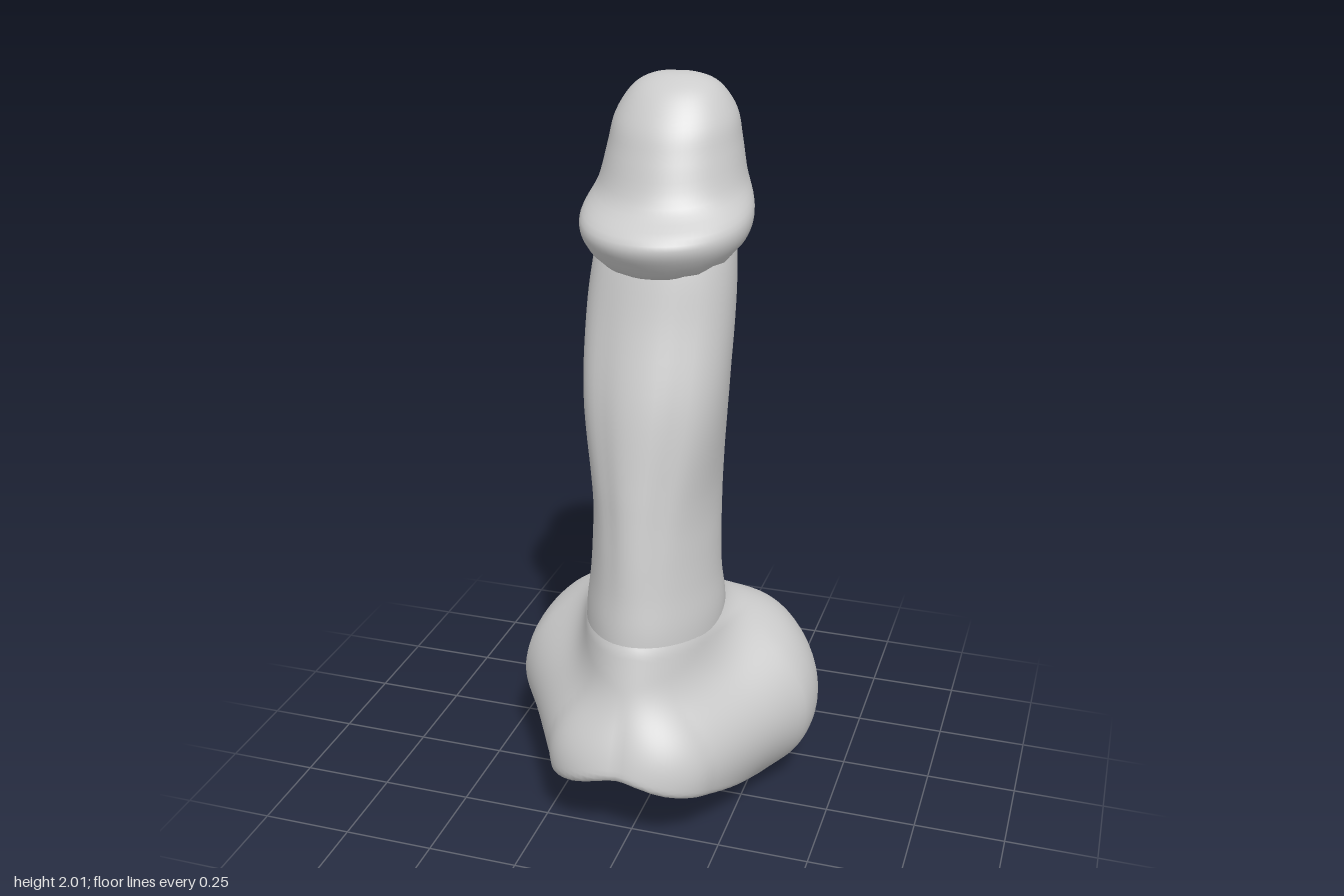
import * as THREE from 'three';
import { mergeVertices } from 'three/addons/utils/BufferGeometryUtils.js';

const SEG = 64;
const { lerp, clamp, smoothstep } = THREE.MathUtils;
const material = new THREE.MeshStandardMaterial({ color: 0xcccccc, roughness: 0.7, side: THREE.DoubleSide });

// Skin a stack of closed rings, listed from bottom to top
function loft(rings) {
  const positions = [], index = [];
  rings.forEach(ring => ring.forEach(p => positions.push(p.x, p.y, p.z)));
  for (let i = 0; i < rings.length - 1; i++) {
    for (let j = 0; j < SEG; j++) {
      const a = i * SEG + j, b = i * SEG + (j + 1) % SEG;
      index.push(a, b, a + SEG, b, b + SEG, a + SEG);
    }
  }
  const geometry = new THREE.BufferGeometry();
  geometry.setAttribute('position', new THREE.Float32BufferAttribute(positions, 3));
  geometry.setIndex(index);
  geometry.computeVertexNormals();
  return geometry;
}

// One ring from a function of the angle; angle 0 is the front, then towards +x
const makeRing = fn => Array.from({ length: SEG }, (_, j) => fn(j / SEG * Math.PI * 2));

// Smoothly resample rows of numbers
function resample(rows, count) {
  const curves = rows[0].map((_, c) => new THREE.SplineCurve(rows.map((r, i) => new THREE.Vector2(i, r[c]))));
  return Array.from({ length: count + 1 }, (_, i) => curves.map(c => c.getPoint(i / count).y));
}

// Leaning column: y, left and right extents, front and back z
function shaftGeometry() {
  const rows = resample([
    [0.40, -0.175, 0.175, 0.26, -0.14],
    [0.50, -0.185, 0.185, 0.272, -0.16],
    [0.60, -0.188, 0.188, 0.268, -0.175],
    [0.70, -0.178, 0.175, 0.252, -0.172],
    [0.80, -0.175, 0.168, 0.238, -0.19],
    [0.90, -0.175, 0.163, 0.222, -0.235],
    [1.00, -0.182, 0.165, 0.205, -0.275],
    [1.20, -0.20, 0.18, 0.165, -0.32],
    [1.40, -0.205, 0.185, 0.105, -0.338],
    [1.55, -0.192, 0.182, 0.065, -0.335],
    [1.72, -0.165, 0.165, 0.01, -0.32],
  ], 50);
  return loft(rows.map(([y, left, right, front, back]) => {
    const fade = Math.sin(Math.PI * clamp((y - 0.6) / 1.0, 0, 1));
    // Section is narrow at the front low down and narrow at the back higher up
    const skew = lerp(-0.17, 0.36, smoothstep(y, 0.75, 1.3));
    return makeRing(a => {
      // Shallow grooves either side of the rear ridge, and beside the front ridge
      const rear = 0.06 * Math.exp(-(((Math.abs(a - Math.PI) - 0.75) / 0.22) ** 2));
      const fore = 0.03 * Math.exp(-(((Math.min(a, 2 * Math.PI - a) - 0.45) / 0.18) ** 2));
      const r = 1 - (rear + fore) * fade;
      const width = (1 + skew * Math.cos(a)) / (1 + 0.42 * skew * skew);
      const x = (left + right) / 2 + (right - left) / 2 * r * Math.sin(a) * width;
      const z = (front + back) / 2 + (front - back) / 2 * r * Math.cos(a);
      return new THREE.Vector3(x, y, z);
    });
  }));
}

// Flared cap with a tilted rim: front y, front z, back y, back z, half width
function capGeometry() {
  const rows = resample([
    [1.60, 0.00, 1.70, -0.28, 0.14],
    [1.527, 0.065, 1.69, -0.312, 0.184],
    [1.568, 0.12, 1.71, -0.325, 0.216],
    [1.63, 0.14, 1.745, -0.33, 0.223],
    [1.70, 0.055, 1.80, -0.337, 0.193],
    [1.80, 0.012, 1.86, -0.34, 0.174],
    [1.88, -0.022, 1.925, -0.325, 0.157],
    [1.955, -0.08, 1.975, -0.28, 0.115],
    [1.992, -0.14, 1.995, -0.23, 0.062],
    [2.00, -0.187, 2.00, -0.19, 0.002],
  ], 45);
  return loft(rows.map(([fy, fz, by, bz, half], i) => makeRing(a => {
    const t = (1 + Math.cos(a)) / 2;
    const p = new THREE.Vector3(-0.006 + half * Math.sin(a), lerp(by, fy, t), lerp(bz, fz, t));
    // The rim sags at the sides, with small folds along its lower edge
    const side = Math.sin(a) ** 2;
    p.y -= 0.022 * side * Math.exp(-(((i - 12) / 8) ** 2));
    p.y += 0.01 * side * Math.sin(a * 16) * Math.exp(-(((i - 5) / 2.5) ** 2));
    // Dimple near the top of the back
    const dx = (p.x + 0.01) / 0.014, dy = (p.y - 1.945) / 0.035;
    const dent = p.z < -0.2 ? Math.exp(-dx * dx - dy * dy) : 0;
    p.z += 0.025 * dent;
    p.y -= 0.012 * dent;
    return p;
  })));
}

// Soft union and soft intersection of two distances
function softMin(a, b, k) {
  const h = Math.max(k - Math.abs(a - b), 0) / k;
  return Math.min(a, b) - h * h * k / 4;
}
const softMax = (a, b, k) => -softMin(-a, -b, k);

// Signed distance of the foot: column root, paired lobes and their front taper, cut by a sloping underside
function footDistance(p) {
  const x = Math.abs(p.x), { y, z } = p;

  // Root of the column, sinking inside the shaft above
  const inset = 0.03 * clamp((y - 0.56) / 0.12, 0, 1);
  const front = 0.268 + 0.285 * (0.6 - y), back = -0.172;
  const mid = (front + back) / 2, rz = (front - back) / 2 - inset;
  const dz = (z - mid) / rz;
  const rx = (0.188 + 0.08 * Math.max(0, 0.6 - y) - inset) * (0.975 - 0.17 * clamp(dz, -1, 1));
  const column = Math.max((Math.hypot(x / rx, dz) - 1) * 0.19, y - 0.68);

  // Rounded lobe at the back
  const lobe = (Math.hypot((x - 0.172) / 0.238, (y - 0.28) / 0.275, (z + 0.15) / 0.233) - 1) * 0.235;

  // Taper from the lobe to the front lip
  const ax = 0.2, ay = 0.26, az = -0.11, bx = -0.1, by = -0.03, bz = 0.335;
  const h = clamp(((x - ax) * bx + (y - ay) * by + (z - az) * bz) / (bx * bx + by * by + bz * bz), 0, 1);
  const taper = Math.hypot(x - ax - bx * h, y - ay - by * h, z - az - bz * h) - lerp(0.232, 0.13, h);

  // Sloping underside with a shallow notch along the middle
  const under = 0.085 + 0.375 * z - 0.035 * (1 - Math.exp(-((x / 0.1) ** 2))) - y;
  const body = softMin(column, softMin(lobe, taper, 0.04), 0.13);
  return softMax(body, under * 0.94, 0.018);
}

// Push each point of a sphere outwards until it meets the foot's surface
function footGeometry() {
  const sphere = new THREE.SphereGeometry(1, 128, 96);
  sphere.deleteAttribute('uv');
  sphere.deleteAttribute('normal');
  const geometry = mergeVertices(sphere);
  const pos = geometry.attributes.position;
  const centre = new THREE.Vector3(0, 0.3, 0), dir = new THREE.Vector3(), p = new THREE.Vector3();
  const distanceAt = t => footDistance(p.copy(centre).addScaledVector(dir, t));
  for (let i = 0; i < pos.count; i++) {
    dir.fromBufferAttribute(pos, i).normalize();
    let far = 0.02;
    while (far < 1 && distanceAt(far) < 0) far += 0.01;
    let near = far - 0.01;
    for (let n = 0; n < 12; n++) {
      const t = (near + far) / 2;
      if (distanceAt(t) < 0) near = t; else far = t;
    }
    p.copy(centre).addScaledVector(dir, near);
    pos.setXYZ(i, p.x, p.y, p.z);
  }
  geometry.computeVertexNormals();
  return geometry;
}

export function createModel() {
  const group = new THREE.Group();
  group.name = 'anatomicalModel';
  const parts = { shaft: shaftGeometry(), cap: capGeometry(), foot: footGeometry() };
  for (const [name, geometry] of Object.entries(parts)) {
    const mesh = new THREE.Mesh(geometry, material);
    mesh.name = name;
    group.add(mesh);
  }
  return group;
}
